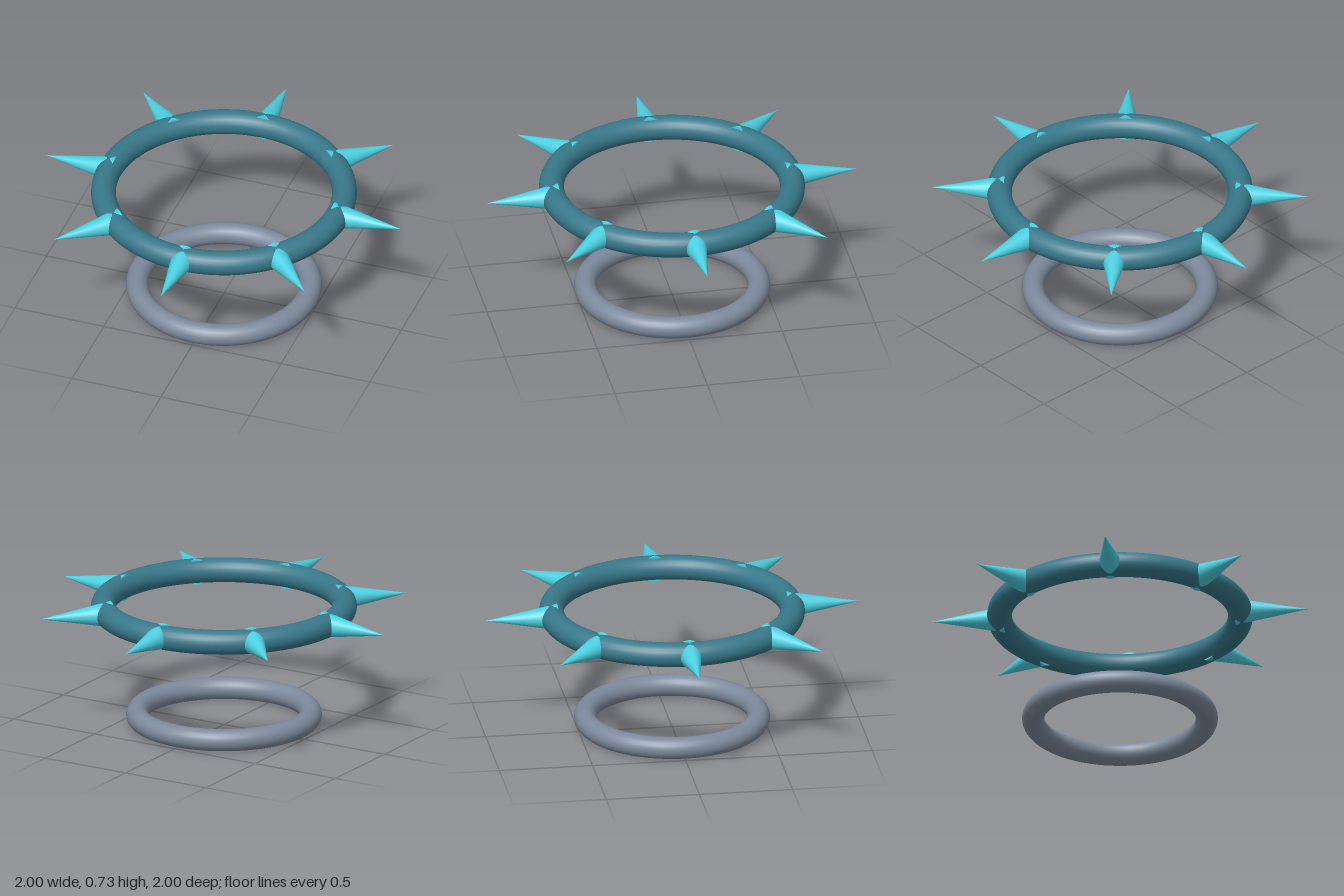
import * as THREE from 'three';

const paint = (color) => new THREE.MeshStandardMaterial({ color });

// Horizontal ring centred on the y axis
function makeRing(name, radius, tube, y, material) {
  const geometry = new THREE.TorusGeometry(radius, tube, 24, 96);
  geometry.rotateX(Math.PI / 2);
  const ring = new THREE.Mesh(geometry, material);
  ring.name = name;
  ring.position.y = y;
  return ring;
}

export function createModel() {
  const model = new THREE.Group();
  model.name = 'spikedRings';

  // Plain lower ring and larger floating upper ring
  const upperY = 0.66;
  model.add(makeRing('lowerRing', 0.461, 0.059, 0.059, paint(0x7d8a9c)));
  model.add(makeRing('upperRing', 0.64, 0.066, upperY, paint(0x37788a)));

  // Eight cones pointing outward, their bases sunk into the upper ring
  const base = 0.615, tip = 1, count = 8;
  const spikeGeometry = new THREE.ConeGeometry(0.071, tip - base, 32);
  spikeGeometry.rotateZ(-Math.PI / 2);
  spikeGeometry.translate((base + tip) / 2, 0, 0);
  const spikeMaterial = paint(0x4dd0e1);
  const spikes = new THREE.Group();
  spikes.name = 'spikes';
  spikes.position.y = upperY;
  for (let i = 0; i < count; i++) {
    const spike = new THREE.Mesh(spikeGeometry, spikeMaterial);
    spike.name = `spike${i + 1}`;
    spike.rotation.y = (i / count) * Math.PI * 2;
    spikes.add(spike);
  }
  model.add(spikes);

  return model;
}
